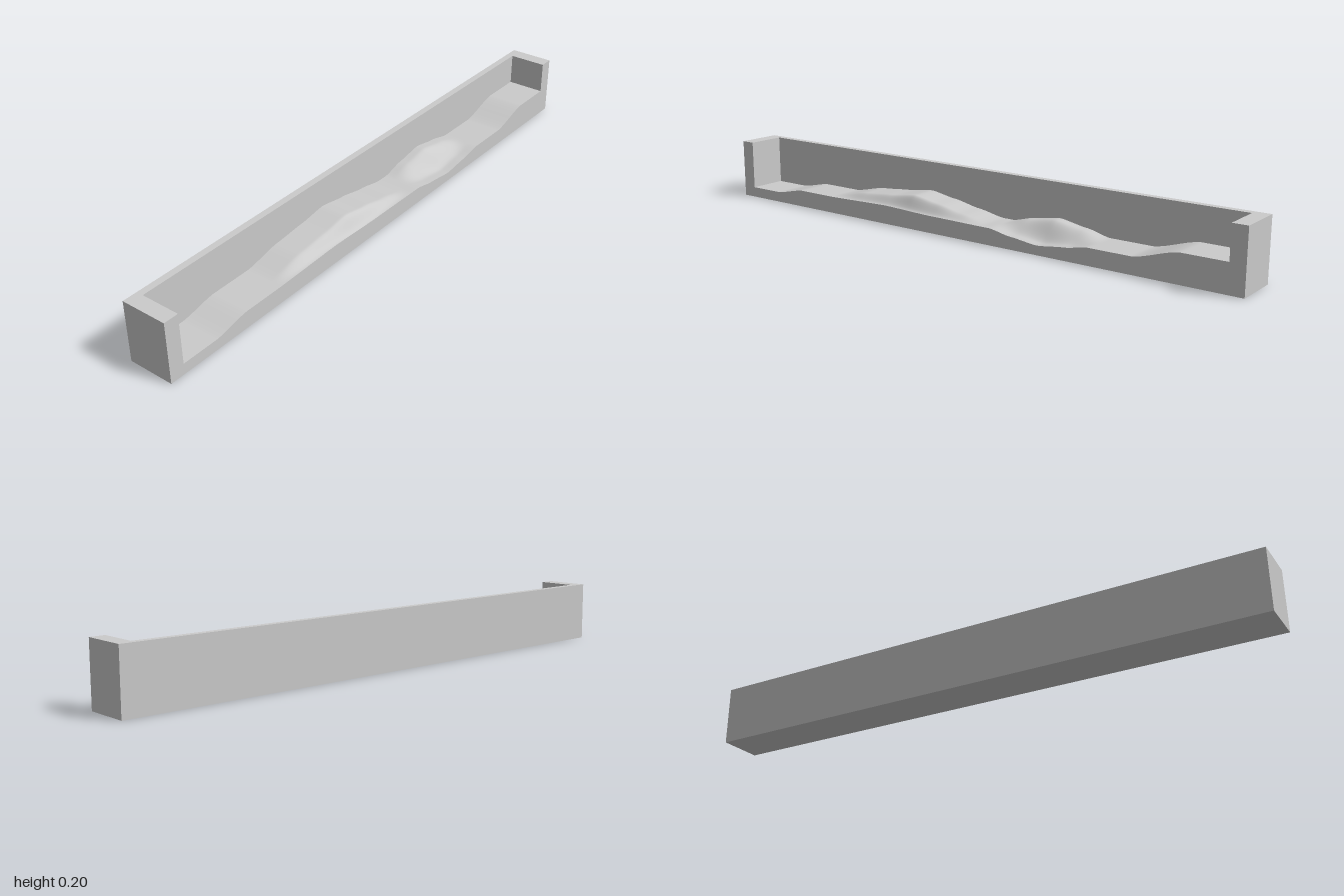
import * as THREE from 'three';

const HALF_W = 0.078, HALF_L = 1, HEIGHT = 0.205;
const INNER_X = -0.055, INNER_Z = 0.95;

// Bed heights as [z, y], along the back wall and along the open side
const WALL_EDGE = [[-0.95, 0.095], [-0.8, 0.095], [-0.65, 0.056], [-0.5, 0.056], [-0.42, 0.074], [-0.32, 0.09],
  [-0.22, 0.075], [-0.14, 0.056], [-0.1, 0.056], [0, 0.073], [0.1, 0.091], [0.2, 0.106], [0.3, 0.093],
  [0.42, 0.083], [0.55, 0.058], [0.7, 0.058], [0.82, 0.036], [0.95, 0.036]];
const OPEN_EDGE = [[-0.95, 0.095], [-0.8, 0.095], [-0.65, 0.056], [-0.5, 0.056], [-0.42, 0.042], [-0.32, 0.031],
  [-0.22, 0.042], [-0.14, 0.056], [0.1, 0.058], [0.3, 0.064], [0.55, 0.058], [0.7, 0.058], [0.82, 0.036], [0.95, 0.036]];

// Height between key points, eased half way between straight and smooth
function sample(points, z) {
  let i = 0;
  while (i < points.length - 2 && z > points[i + 1][0]) i++;
  const [z0, y0] = points[i], [z1, y1] = points[i + 1];
  const t = THREE.MathUtils.clamp((z - z0) / (z1 - z0), 0, 1);
  const s = (t + t * t * (3 - 2 * t)) / 2;
  return y0 + (y1 - y0) * s;
}

// Cross slope: a mid-channel step towards the back, a bank at the open side towards the front
function bedHeight(x, z) {
  const shift = THREE.MathUtils.smoothstep(z, -0.14, -0.1);
  const from = THREE.MathUtils.lerp(-0.03, 0.035, shift);
  const to = THREE.MathUtils.lerp(0.05, HALF_W, shift);
  const blend = THREE.MathUtils.smoothstep(x, from, to);
  return THREE.MathUtils.lerp(sample(WALL_EDGE, z), sample(OPEN_EDGE, z), blend);
}

export function createModel() {
  const group = new THREE.Group();
  const material = new THREE.MeshStandardMaterial({ color: 0xcccccc });

  // Back wall and both end walls as one U-shaped footprint
  const footprint = new THREE.Shape([
    [HALF_W, -HALF_L], [HALF_W, -INNER_Z], [INNER_X, -INNER_Z], [INNER_X, INNER_Z],
    [HALF_W, INNER_Z], [HALF_W, HALF_L], [-HALF_W, HALF_L], [-HALF_W, -HALF_L],
  ].map(([x, y]) => new THREE.Vector2(x, y)));
  const wallGeometry = new THREE.ExtrudeGeometry(footprint, { depth: HEIGHT, bevelEnabled: false });
  wallGeometry.rotateX(-Math.PI / 2);
  const walls = new THREE.Mesh(wallGeometry, material);
  walls.name = 'walls';
  group.add(walls);

  // Solid undulating bed: a box whose top follows the height rule
  const bedGeometry = new THREE.BoxGeometry(HALF_W - INNER_X, 1, INNER_Z * 2, 24, 1, 190);
  bedGeometry.translate((HALF_W + INNER_X) / 2, 0.5, 0);
  const position = bedGeometry.attributes.position;
  for (let i = 0; i < position.count; i++) {
    if (position.getY(i) > 0.5) position.setY(i, bedHeight(position.getX(i), position.getZ(i)));
  }
  bedGeometry.computeVertexNormals();
  const bed = new THREE.Mesh(bedGeometry, material);
  bed.name = 'channelBed';
  group.add(bed);

  return group;
}
